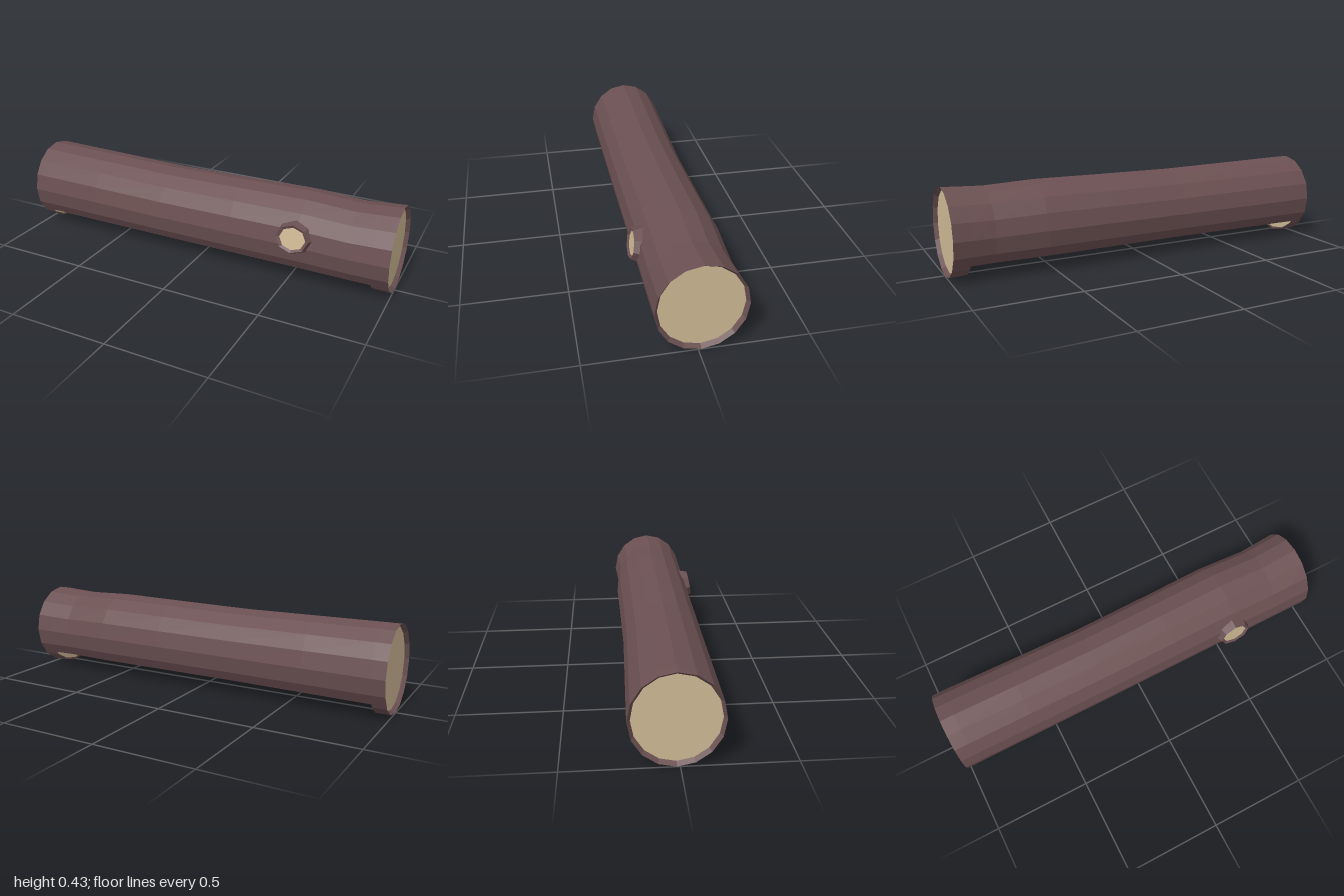
import * as THREE from 'three';

const SIDES = 16;
const FLOOR = 0.08; // height of the flat cut underneath
const bark = new THREE.MeshStandardMaterial({ color: 0x6b5052, flatShading: true });
const wood = new THREE.MeshStandardMaterial({ color: 0xd0ba95, flatShading: true });
const under = new THREE.MeshStandardMaterial({ color: 0x401818, flatShading: true });

// Cross-section of the log: the front line stays straight, the back and top waver with s
function ring(x, s, inset = 1) {
  const cz = 0.19 - 0.204 * s, cy = 0.215 - 0.15 * (1 - s);
  return Array.from({ length: SIDES }, (_, i) => {
    const a = (i / SIDES) * Math.PI * 2;
    return new THREE.Vector3(x, cy + 0.215 * s * inset * Math.sin(a), cz + 0.204 * s * inset * Math.cos(a));
  });
}

// Same section with its five lowest corners moved up onto the flat cut
function cutRing(x, s) {
  const r = ring(x, s);
  const onCut = (p, q) => p.clone().lerp(q, (FLOOR - p.y) / (q.y - p.y));
  const a = onCut(r[9], r[10]), b = onCut(r[15], r[14]);
  for (let k = 0; k <= 4; k++) r[10 + k] = a.clone().lerp(b, k / 4);
  return r;
}

const mixRings = (a, b, t) => a.map((p, i) => p.clone().lerp(b[i], t));
const centre = (r) => {
  const c = r[0].clone().add(r[8]).multiplyScalar(0.5);
  return r.map(() => c);
};

// Skin between successive rings, keeping only the sides that pass the test
function loft(name, rings, material, keep = () => true) {
  const pos = [];
  const tri = (a, b, c) => {
    const area = b.clone().sub(a).cross(c.clone().sub(a)).length();
    if (area > 1e-7) for (const p of [a, b, c]) pos.push(p.x, p.y, p.z);
  };
  for (let k = 0; k < rings.length - 1; k++) {
    for (let i = 0; i < SIDES; i++) {
      if (!keep(i)) continue;
      const j = (i + 1) % SIDES, A = rings[k], B = rings[k + 1];
      tri(A[i], B[i], B[j]);
      tri(A[i], B[j], A[j]);
    }
  }
  const g = new THREE.BufferGeometry();
  g.setAttribute('position', new THREE.Float32BufferAttribute(pos, 3));
  g.computeVertexNormals();
  const mesh = new THREE.Mesh(g, material);
  mesh.name = name;
  return mesh;
}

// Short branch stub with a recessed cut face
function makeKnot() {
  const knot = new THREE.Group();
  knot.name = 'knot';
  const lathe = (name, pts, material) => {
    const m = new THREE.Mesh(new THREE.LatheGeometry(pts.map((p) => new THREE.Vector2(...p)), 8), material);
    m.name = name;
    knot.add(m);
  };
  lathe('knotBark', [[0.092, -0.07], [0.079, -0.03], [0.069, 0], [0.056, -0.008]], bark);
  lathe('knotWood', [[0.056, -0.008], [0, -0.008]], wood);
  knot.position.set(0.537, 0.262, 0.208);
  knot.rotation.x = Math.PI / 2 - 0.18;
  knot.scale.x = 1.17;
  return knot;
}

export function createModel() {
  const log = new THREE.Group();
  log.name = 'log';
  const L = -0.93, R = 0.915, sR = 0.985;

  // Trunk between the two end feet
  const trunk = [[L, 1], [-0.6, 0.985], [-0.2, 0.967], [0.2, 0.98], [0.55, 0.995], [0.8, 0.967], [R, sR]]
    .map(([x, s]) => cutRing(x, s));
  const isUnder = (i) => i >= 10 && i < 14;
  log.add(loft('trunkBark', trunk, bark, (i) => !isUnder(i)));
  log.add(loft('underside', trunk, under, isUnder));

  // End collars: beveled recess, rim, foot, and the bark edge of the notch wall
  const capL = ring(-0.98, 1, 0.93), capR = ring(0.98, 1, 0.93);
  const footL = ring(L, 1), footR = ring(R, sR);
  const edgeL = mixRings(footL, trunk[0], 0.15), edgeR = mixRings(footR, trunk.at(-1), 0.15);
  log.add(loft('rightCollar', [capL, ring(-1, 1), footL, edgeL], bark));
  log.add(loft('leftCollar', [edgeR, footR, ring(1, 1), capR], bark));

  // Cut wood on the ends and on the inner faces of the feet
  log.add(loft('rightEndWood', [centre(capL), capL], wood));
  log.add(loft('leftEndWood', [capR, centre(capR)], wood));
  log.add(loft('rightFootWood', [edgeL, trunk[0]], wood));
  log.add(loft('leftFootWood', [trunk.at(-1), edgeR], wood));

  log.add(makeKnot());
  return log;
}
